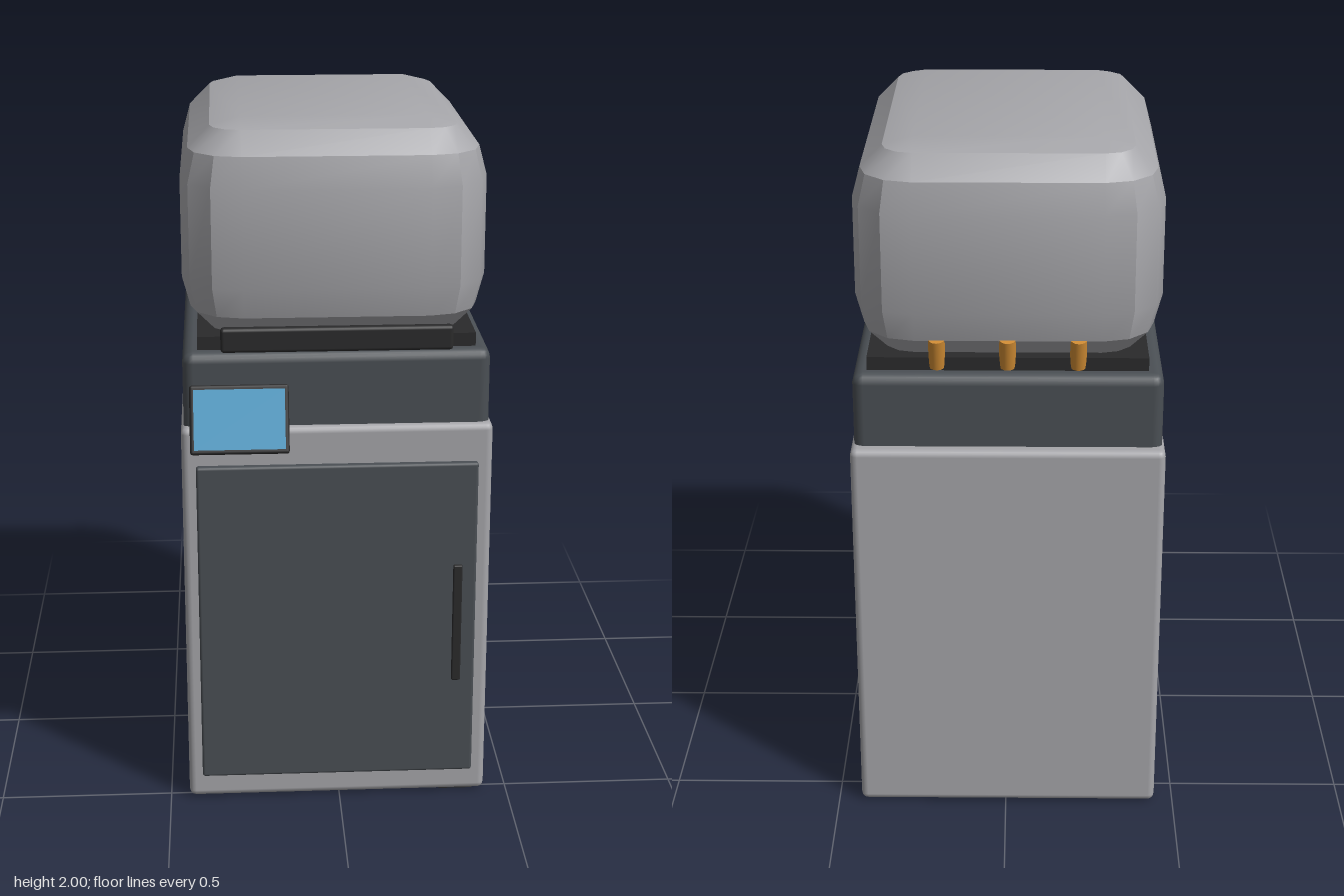
import * as THREE from 'three';
import { toCreasedNormals } from 'three/addons/utils/BufferGeometryUtils.js';
import { RoundedBoxGeometry } from 'three/addons/geometries/RoundedBoxGeometry.js';

const material = (name, color) => {
  const m = new THREE.MeshStandardMaterial({ color });
  m.name = name;
  return m;
};

// Box with wide three-step bevels, built as rounded-rectangle rings from bottom to top
function bevelledBox(w, h, d, r) {
  const steps = [0, 30, 60, 90];
  const rings = [-90, -60, -30, 0, 0, 30, 60, 90];
  const points = [], index = [], n = 16;
  rings.forEach((deg, i) => {
    const lat = THREE.MathUtils.degToRad(deg);
    const y = (i < 4 ? -1 : 1) * (h / 2 - r) + r * Math.sin(lat);
    for (let corner = 0; corner < 4; corner++) {
      const sx = corner === 0 || corner === 3 ? 1 : -1, sz = corner < 2 ? 1 : -1;
      for (const s of steps) {
        const a = THREE.MathUtils.degToRad(corner * 90 + s), rr = r * Math.cos(lat);
        points.push(sx * (w / 2 - r) + rr * Math.cos(a), y, sz * (d / 2 - r) + rr * Math.sin(a));
      }
    }
  });
  for (let i = 0; i < rings.length - 1; i++) {
    for (let j = 0; j < n; j++) {
      const k = (j + 1) % n, a = i * n + j, b = a + n, c = i * n + k, e = c + n;
      // skip the collapsed triangles where a corner meets the flat cap
      if (i > 0 || j % 4 === 3) index.push(a, b, c);
      else index.push(a, b, e);
      if (i > 0 && (i < rings.length - 2 || j % 4 === 3)) index.push(b, e, c);
      else if (i === 0 && j % 4 === 3) index.push(b, e, c);
    }
  }
  const t = (rings.length - 1) * n;
  index.push(t, t + 12, t + 8, t, t + 8, t + 4, 0, 8, 12, 0, 4, 8);
  const g = new THREE.BufferGeometry();
  g.setAttribute('position', new THREE.Float32BufferAttribute(points, 3));
  g.setIndex(index);
  return toCreasedNormals(g, THREE.MathUtils.degToRad(29));
}

export function createModel() {
  const model = new THREE.Group();
  model.name = 'cabinetMachine';
  const grey = material('casing grey', 0xa6a6aa);
  const slate = material('slate', 0x4a4f54);
  const black = material('black trim', 0x2a2a2b);
  const blue = material('screen blue', 0x4c9fca);
  const amber = material('amber', 0xd08c34);

  const add = (name, geometry, mat, x, y, z, parent = model) => {
    const mesh = new THREE.Mesh(geometry, mat);
    mesh.name = name;
    mesh.position.set(x, y, z);
    parent.add(mesh);
    return mesh;
  };
  // Box given by its limits, with optional rounded edges
  const block = (name, mat, [x0, x1], [y0, y1], [z0, z1], r = 0) => {
    const size = [x1 - x0, y1 - y0, z1 - z0];
    const g = r ? new RoundedBoxGeometry(...size, 2, r) : new THREE.BoxGeometry(...size);
    return add(name, g, mat, (x0 + x1) / 2, (y0 + y1) / 2, (z0 + z1) / 2);
  };

  // Cabinet, upper deck, seal and domed lid
  block('cabinet', grey, [-0.445, 0.433], [0.004, 1.16], [-0.6, 0.532], 0.02);
  block('upperDeck', slate, [-0.437, 0.424], [1.1, 1.372], [-0.565, 0.513], 0.03);
  block('lidSeal', black, [-0.395, 0.384], [1.36, 1.41], [-0.523, 0.475]);
  add('lid', bevelledBox(0.856, 0.62, 1.073, 0.17), grey, -0.007, 1.69, -0.025);
  block('lidHandle', black, [-0.33, 0.315], [1.378, 1.448], [0.504, 0.535], 0.01);

  // Front door and its pull
  block('door', slate, [-0.405, 0.392], [0.08, 1.05], [0.525, 0.552], 0.008);
  block('doorPull', black, [0.325, 0.351], [0.38, 0.742], [0.545, 0.562], 0.004);

  // Tilted control panel on a small bracket
  block('panelBracket', black, [-0.33, -0.235], [1.108, 1.162], [0.525, 0.558]);
  const panel = new THREE.Group();
  panel.name = 'controlPanel';
  panel.position.set(-0.281, 1.195, 0.561);
  panel.rotation.x = -0.34;
  model.add(panel);
  add('panelFrame', new RoundedBoxGeometry(0.276, 0.193, 0.024, 2, 0.008), black, 0, 0, 0, panel);
  add('panelScreen', new THREE.BoxGeometry(0.254, 0.168, 0.006), blue, 0, 0, 0.012, panel);

  // Side vent slots
  for (let i = 0; i < 5; i++) {
    const z = 0.234 + i * 0.0342;
    block('ventSlot', black, [0.425, 0.443], [0.95, 1.046], [z - 0.008, z + 0.008]);
  }

  // Rear pegs leaning back
  for (const x of [0.19, -0.005, -0.2]) {
    const peg = add('rearPeg', new THREE.CylinderGeometry(0.023, 0.023, 0.09, 16), amber, x, 1.425, -0.522);
    peg.rotation.x = -0.24;
  }

  // Feet under the cabinet
  for (const [x, z, s] of [[0.345, -0.505, 0.1], [0.35, 0.465, 0.1], [-0.37, -0.485, 0.05], [-0.345, 0.45, 0.045]]) {
    block('foot', black, [x - s / 2, x + s / 2], [0, 0.02], [z - s / 2, z + s / 2]);
  }
  return model;
}
